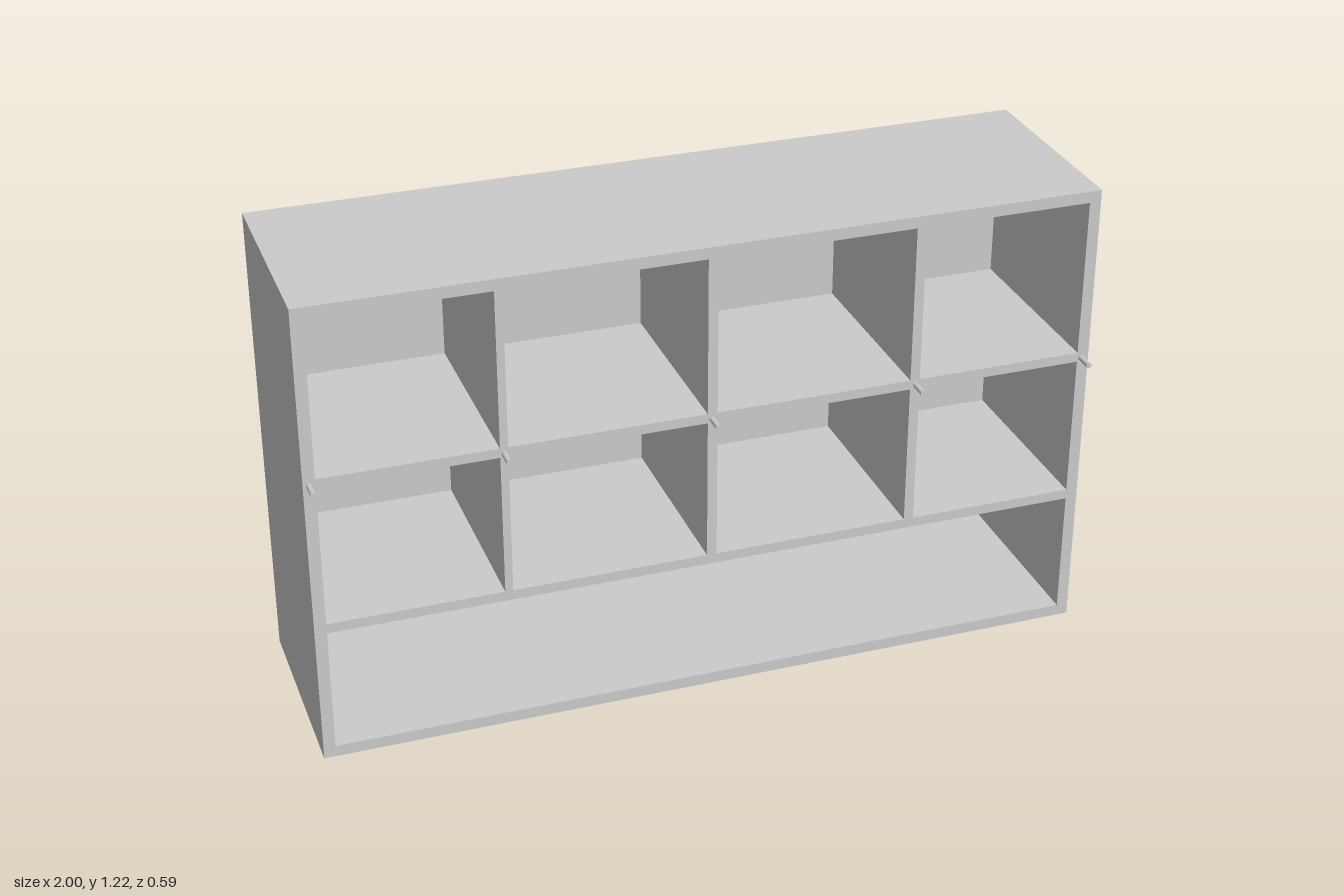
import * as THREE from 'three';

const FRONT = 0.25, BACK = -0.295, PANEL = 0.03, HEIGHT = 1.22;

// Rectangle outline from two corners
function rect(target, x0, y0, x1, y1) {
  target.moveTo(x0, y0);
  target.lineTo(x1, y0);
  target.lineTo(x1, y1);
  target.lineTo(x0, y1);
  target.closePath();
  return target;
}

export function createModel() {
  const model = new THREE.Group();
  model.name = 'shelfUnit';
  const material = new THREE.MeshStandardMaterial({ color: 0xcccccc });

  function add(name, geometry, x, y, z) {
    const mesh = new THREE.Mesh(geometry, material);
    mesh.name = name;
    mesh.position.set(x, y, z);
    model.add(mesh);
    return mesh;
  }

  // Carcass with its shelves and dividers: one long bay below two rows of four
  const columns = [[-0.97, -0.53], [-0.51, -0.013], [0.012, 0.515], [0.54, 0.97]];
  const rows = [[0.383, 0.755], [0.78, 1.19]];
  const outline = rect(new THREE.Shape(), -1, 0, 1, HEIGHT);
  outline.holes.push(rect(new THREE.Path(), -0.97, 0.03, 0.97, 0.357));
  for (const [y0, y1] of rows) {
    for (const [x0, x1] of columns) outline.holes.push(rect(new THREE.Path(), x0, y0, x1, y1));
  }
  const depth = FRONT - BACK - PANEL;
  add('carcass', new THREE.ExtrudeGeometry(outline, { depth, bevelEnabled: false }), 0, 0, BACK + PANEL);

  // Back panel closing the bays
  add('backPanel', new THREE.BoxGeometry(2, HEIGHT, PANEL), 0, HEIGHT / 2, BACK + PANEL / 2);

  // Small pegs on the middle shelf edge, one at each upright
  for (const x of [-0.985, -0.52, -0.002, 0.53, 0.98]) {
    const peg = add('peg', new THREE.CylinderGeometry(0.007, 0.007, 0.055, 16), x, 0.765, 0.2685);
    peg.rotation.x = Math.PI / 2;
  }
  return model;
}
